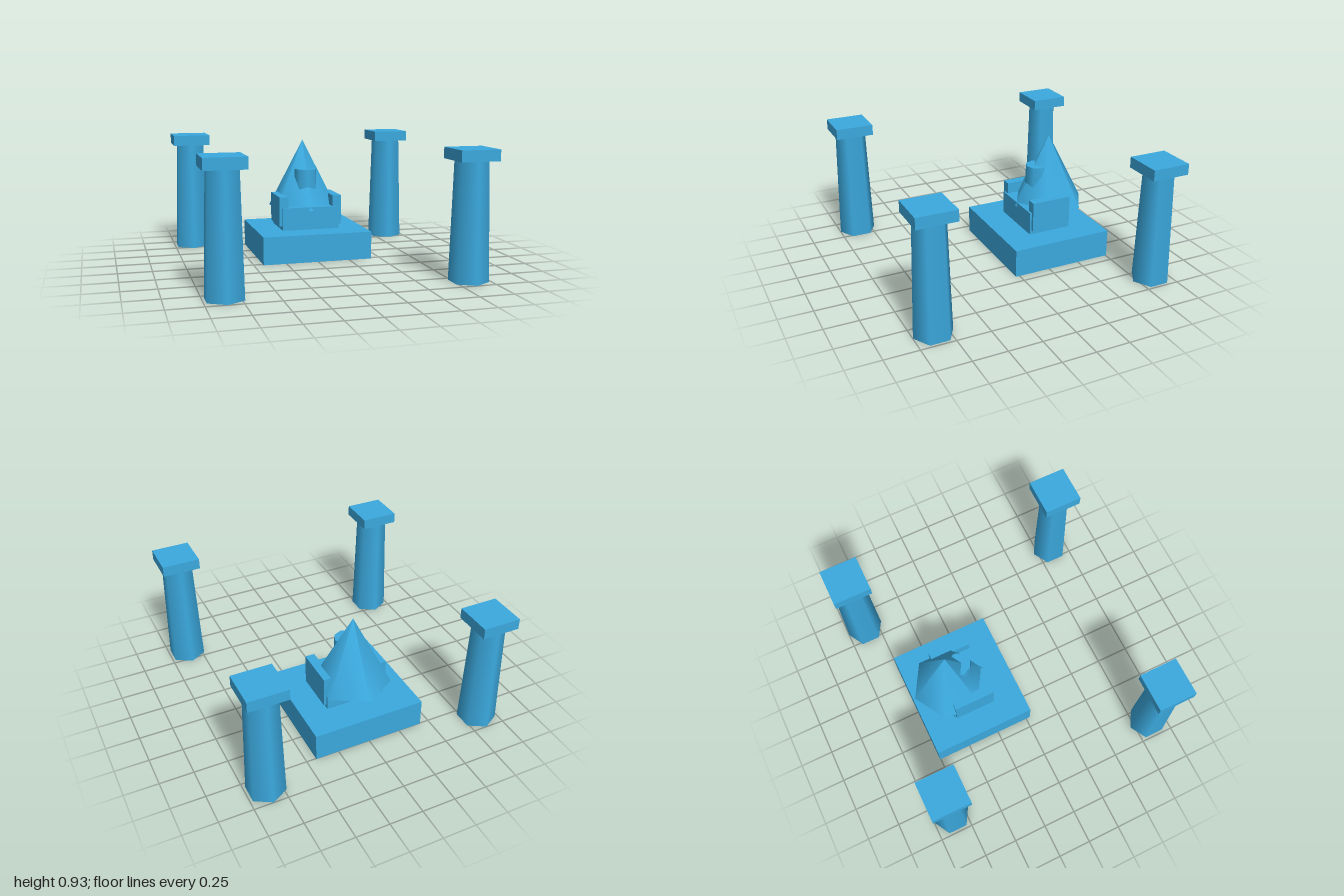
import * as THREE from 'three';

export function createModel() {
  const model = new THREE.Group();
  model.name = 'shrine';
  const blue = new THREE.MeshStandardMaterial({ color: 0x3ba9de });
  blue.name = 'blue';

  const add = (name, geometry, x, y, z, parent = model) => {
    const mesh = new THREE.Mesh(geometry, blue);
    mesh.name = name;
    mesh.position.set(x, y, z);
    parent.add(mesh);
    return mesh;
  };

  // Four corner columns: tapered six-sided shaft with a square cap
  const shaft = new THREE.CylinderGeometry(0.118, 0.142, 0.85, 6);
  const cap = new THREE.BoxGeometry(0.285, 0.08, 0.285);
  for (const x of [-0.857, 0.857]) {
    for (const z of [-0.857, 0.857]) {
      const column = new THREE.Group();
      column.name = 'column';
      column.position.set(x, 0, z);
      add('columnShaft', shaft, 0, 0.425, 0, column);
      add('columnCap', cap, 0, 0.89, 0, column);
      model.add(column);
    }
  }

  // Platform and throne
  add('platform', new THREE.BoxGeometry(0.855, 0.213, 0.785), 0, 0.1065, -0.362);
  add('seat', new THREE.BoxGeometry(0.455, 0.177, 0.34), 0, 0.3005, -0.355);
  const arm = new THREE.BoxGeometry(0.07, 0.23, 0.31);
  for (const side of [-1, 1]) add('armrest', arm, side * 0.215, 0.36, -0.355);

  // Six-sided robe with a short drum emerging from its front
  add('robe', new THREE.ConeGeometry(0.285, 0.54, 6), 0, 0.63, -0.457);
  add('drum', new THREE.CylinderGeometry(0.088, 0.094, 0.2, 8), 0, 0.575, -0.358);

  return model;
}
